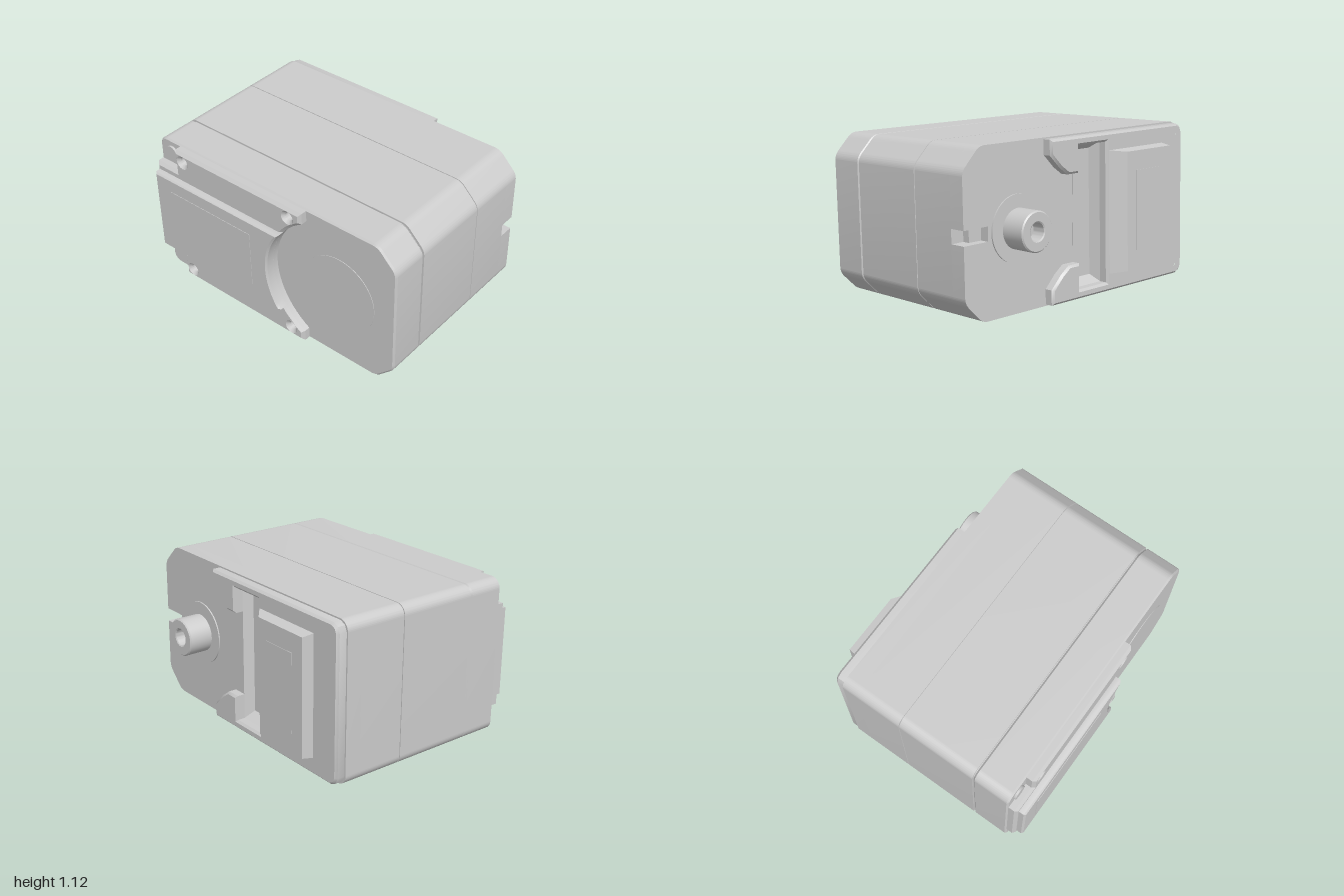
import * as THREE from 'three';
import { toCreasedNormals } from 'three/addons/utils/BufferGeometryUtils.js';

const grey = new THREE.MeshStandardMaterial({ color: 0xcccccc });
const greyOpen = new THREE.MeshStandardMaterial({ color: 0xcccccc, side: THREE.DoubleSide });

// Outlines are drawn in the side plane: (-z, y)
function shapeZY(points) {
  return new THREE.Shape(points.map(([z, y]) => new THREE.Vector2(-z, y)));
}

function addHole(shape, z, y, r) {
  const hole = new THREE.Path();
  hole.absarc(-z, y, r, 0, Math.PI * 2, true);
  shape.holes.push(hole);
}

// Extrude a side outline along x, from x0 to x1, with a chamfer inside the outline
function slab(name, shape, x0, x1, bevel = 0) {
  const geo = new THREE.ExtrudeGeometry(shape, {
    depth: x1 - x0 - 2 * bevel, curveSegments: 24, bevelEnabled: bevel > 0,
    bevelThickness: bevel, bevelSize: bevel, bevelOffset: -bevel, bevelSegments: 1,
  });
  geo.rotateY(Math.PI / 2);
  geo.translate(x0 + bevel, 0, 0);
  return named(name, toCreasedNormals(geo, 0.6));
}

function named(name, geo, material = grey) {
  const mesh = new THREE.Mesh(geo, material);
  mesh.name = name;
  return mesh;
}

// Block between x0 and x1 whose two ends have different z/y rectangles [zMin, zMax, yHalf]
function taperedBlock(x0, x1, a, b) {
  const geo = new THREE.BoxGeometry(2, 2, 2);
  const p = geo.attributes.position;
  for (let i = 0; i < p.count; i++) {
    const [x, y, z] = [p.getX(i), p.getY(i), p.getZ(i)];
    const r = x < 0 ? a : b;
    p.setXYZ(i, x < 0 ? x0 : x1, y * r[2], z < 0 ? r[0] : r[1]);
  }
  geo.computeVertexNormals();
  return geo;
}

// Case outline: softened chamfers at the front, round corners at the back
function caseShape(inset = 0, slot = false) {
  const f = 0.995 - inset, h = 0.54 - inset, r = 0.07;
  const s = new THREE.Shape();
  s.moveTo(f - r, h);
  s.lineTo(-f + 0.18, h);
  s.quadraticCurveTo(-f + 0.14, h, -f + 0.11, h - 0.03);
  s.lineTo(-f + 0.03, h - 0.11);
  s.quadraticCurveTo(-f, h - 0.14, -f, h - 0.18);
  if (slot) [[-f, 0.047], [-0.8, 0.047], [-0.8, -0.047], [-f, -0.047]].forEach((c) => s.lineTo(...c));
  s.lineTo(-f, -h + 0.18);
  s.quadraticCurveTo(-f, -h + 0.14, -f + 0.03, -h + 0.11);
  s.lineTo(-f + 0.11, -h + 0.03);
  s.quadraticCurveTo(-f + 0.14, -h, -f + 0.18, -h);
  s.lineTo(f - r, -h);
  s.absarc(f - r, -h + r, r, -Math.PI / 2, 0, false);
  s.absarc(f - r, h - r, r, 0, Math.PI / 2, false);
  return s;
}

// Left plates end at the front in a round cut about the shaft axis
function leftShape(yArc, rear) {
  const R = 0.52, t = Math.asin(yArc / R);
  const pts = [];
  for (let i = 0; i <= 24; i++) {
    const a = t - (2 * t * i) / 24;
    pts.push([0.555 - R * Math.cos(a), R * Math.sin(a)]);
  }
  return shapeZY([...pts, ...rear.map(([z, y]) => [z, -y]), ...[...rear].reverse()]);
}

function disc(name, x0, x1, r, z, y = 0) {
  const geo = new THREE.CylinderGeometry(r, r, x1 - x0, 40);
  geo.rotateZ(Math.PI / 2);
  geo.translate((x0 + x1) / 2, y, z);
  return named(name, geo);
}

export function createModel() {
  const root = new THREE.Group();
  const unit = new THREE.Group();
  unit.name = 'gearedMotor';
  unit.position.y = 0.56;
  unit.rotation.set(0.0087, 0, 0.0175); // sits very slightly tilted
  root.add(unit);

  // Case sections with thin seams over an inset core
  unit.add(
    slab('caseCore', caseShape(0.012), -0.6, 0.4),
    slab('leftCase', caseShape(), -0.68, -0.412, 0.012),
    slab('middleCase', caseShape(), -0.406, 0.158),
    slab('rightCase', caseShape(), 0.164, 0.495),
  );

  // Outer right layer with the cable slot and the pocket opening
  const outer = caseShape(0, true);
  outer.holes.push(new THREE.Path(
    [[-0.06, 0.47], [-0.06, -0.47], [0.2, -0.47], [0.2, 0.47]].map((c) => new THREE.Vector2(...c))));
  unit.add(slab('rightCover', outer, 0.495, 0.607));

  // Pocket with sloped walls, open to the right
  const pocket = taperedBlock(0.54, 0.609, [-0.17, 0.035, 0.425], [-0.2, 0.06, 0.47]);
  pocket.setIndex(Array.from(pocket.index.array).slice(6));
  unit.add(named('pocket', pocket, greyOpen));

  // Contact block in the cable slot
  const contact = new THREE.BoxGeometry(0.05, 0.094, 0.1);
  contact.translate(0.52, 0, 0.85);
  unit.add(named('slotContact', contact));

  // Right plate with two ears around the pocket
  const ear = [[0.06, 0.47], [0.06, 0.295], [0.16, 0.295], [0.23, 0.345], [0.315, 0.43], [0.315, 0.53]];
  const back = [[-0.93, 0.53], [-0.968, 0.51], [-0.985, 0.47]];
  const plate = shapeZY([
    [-0.2, -0.47], [-0.2, 0.47], ...ear, ...back,
    ...[...back].reverse().map(([z, y]) => [z, -y]),
    ...[...ear].reverse().map(([z, y]) => [z, -y]),
  ]);
  for (const y of [0.458, -0.458]) {
    addHole(plate, 0.19, y, 0.036);
    addHole(plate, -0.89, y, 0.036);
  }
  unit.add(slab('rightPlate', plate, 0.57, 0.675, 0.015));

  // Raised right panel, sloped towards the pocket
  unit.add(named('rightPanel', taperedBlock(0.66, 0.753, [-0.765, -0.2, 0.415], [-0.752, -0.315, 0.4])));
  unit.add(named('rightLabelField', taperedBlock(0.74, 0.756, [-0.65, -0.4, 0.27], [-0.65, -0.4, 0.27])));

  // Output shaft with bore, and its collar
  const profile = [[0.058, 0.1], [0.058, 0.19], [0.066, 0.195], [0.122, 0.195], [0.13, 0.187], [0.13, 0]];
  const shaft = new THREE.LatheGeometry(profile.map((c) => new THREE.Vector2(...c)).reverse(), 48);
  shaft.rotateZ(-Math.PI / 2);
  shaft.translate(0.59, 0, 0.555);
  unit.add(named('outputShaft', toCreasedNormals(shaft, 0.5), greyOpen));
  unit.add(disc('shaftBoreFloor', 0.6, 0.69, 0.06, 0.555));
  unit.add(disc('shaftCollar', 0.6, 0.616, 0.218, 0.555));

  // Left plate with round cut, bolt holes and notched rear corners
  const leftPlate = leftShape(0.45, [[0.295, 0.53], [-0.8, 0.53], [-0.8, 0.36], [-0.985, 0.36]]);
  for (const y of [0.46, -0.46]) {
    addHole(leftPlate, 0.19, y, 0.03);
    addHole(leftPlate, -0.73, y, 0.03);
    unit.add(disc('cornerBolt', -0.695, -0.67, 0.05, -0.885, y * 0.97));
  }
  unit.add(slab('leftPlate', leftPlate, -0.742, -0.64, 0.02));

  // Raised left panel, label field and idler disc
  unit.add(slab('leftPanel', leftShape(0.31, [[-0.96, 0.31]]), -0.79, -0.7, 0.012));
  unit.add(named('leftLabelField', taperedBlock(-0.793, -0.78, [-0.82, -0.1, 0.21], [-0.82, -0.1, 0.21])));
  unit.add(disc('idlerDisc', -0.684, -0.67, 0.28, 0.555));

  return root;
}
